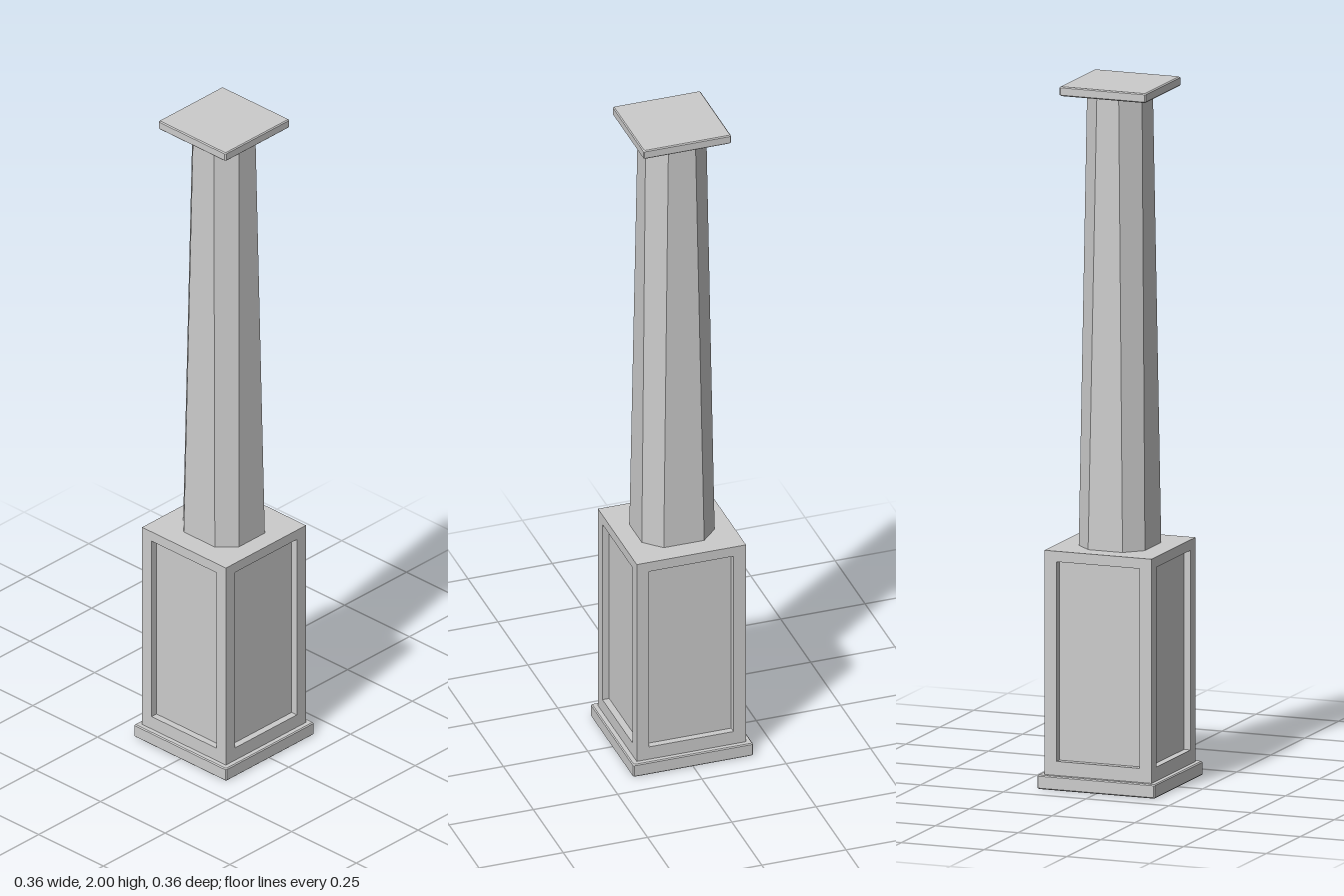
import * as THREE from 'three';

const material = new THREE.MeshStandardMaterial({ color: 0xcccccc, flatShading: true });

// Closed solid through rectangular sections with chamfered corners: [y, halfX, halfZ, chamfer]
function loft(sections) {
  const pos = [], index = [], n = 8, last = (sections.length - 1) * n;
  for (const [y, x, z, c] of sections) {
    const ring = [[x, c - z], [x, z - c], [x - c, z], [c - x, z],
      [-x, z - c], [-x, c - z], [c - x, -z], [x - c, -z]];
    for (const [px, pz] of ring) pos.push(px, y, pz);
  }
  for (let s = 0; s < last; s += n) {
    for (let i = 0; i < n; i++) {
      const a = s + i, b = s + (i + 1) % n;
      index.push(b, a, a + n, b, a + n, b + n);
    }
  }
  for (let i = 1; i < n - 1; i++) {
    index.push(0, i, i + 1, last, last + i + 1, last + i);
  }
  const g = new THREE.BufferGeometry();
  g.setAttribute('position', new THREE.Float32BufferAttribute(pos, 3));
  g.setIndex(index);
  const flat = g.toNonIndexed();
  flat.computeVertexNormals();
  return flat;
}

// Square slab with slightly eased edges
function slab(half, y0, y1) {
  const e = 0.003;
  return loft([[y0, half - e, half - e, e], [y0 + e, half, half, e],
    [y1 - e, half, half, e], [y1, half - e, half - e, e]]);
}

function rect(path, half, y0, y1) {
  path.moveTo(-half, y0);
  path.lineTo(half, y0);
  path.lineTo(half, y1);
  path.lineTo(-half, y1);
  path.closePath();
  return path;
}

// Raised frame around a recessed panel, mitred at its two vertical ends
function panelFrame(half, y0, y1, depth) {
  const shape = rect(new THREE.Shape(), half, y0, y1);
  shape.holes.push(rect(new THREE.Path(), 0.125, 0.08, 0.65));
  const g = new THREE.ExtrudeGeometry(shape, { depth, bevelEnabled: false });
  const p = g.attributes.position;
  for (let i = 0; i < p.count; i++) {
    const x = p.getX(i);
    if (p.getZ(i) < depth / 2 && Math.abs(x) > half - 0.001) p.setX(i, Math.sign(x) * (half - depth));
  }
  g.translate(0, 0, half - depth);
  g.computeVertexNormals();
  return g;
}

export function createModel() {
  const model = new THREE.Group();
  model.name = 'column';
  const add = (name, geometry, parent = model) => {
    const mesh = new THREE.Mesh(geometry, material);
    mesh.name = name;
    parent.add(mesh);
    return mesh;
  };

  // Plinth at the foot
  add('plinth', slab(0.178, 0, 0.04));

  // Pedestal: core with a framed panel on every side
  const pedestal = new THREE.Group();
  pedestal.name = 'pedestal';
  model.add(pedestal);
  const half = 0.162, y0 = 0.04, y1 = 0.68, depth = 0.02;
  const core = new THREE.BoxGeometry(2 * (half - depth), y1 - y0, 2 * (half - depth));
  core.translate(0, (y0 + y1) / 2, 0);
  add('pedestalCore', core, pedestal);
  const frame = panelFrame(half, y0, y1, depth);
  ['front', 'left', 'back', 'right'].forEach((side, i) => {
    add(side + 'PanelFrame', frame, pedestal).rotation.y = i * Math.PI / 2;
  });

  // Tapered shaft with chamfered corners
  add('shaft', loft([[y1, 0.1, 0.108, 0.048], [1.973, 0.083, 0.09, 0.05]]));

  // Cap on top
  add('cap', slab(0.13, 1.973, 2));

  return model;
}
